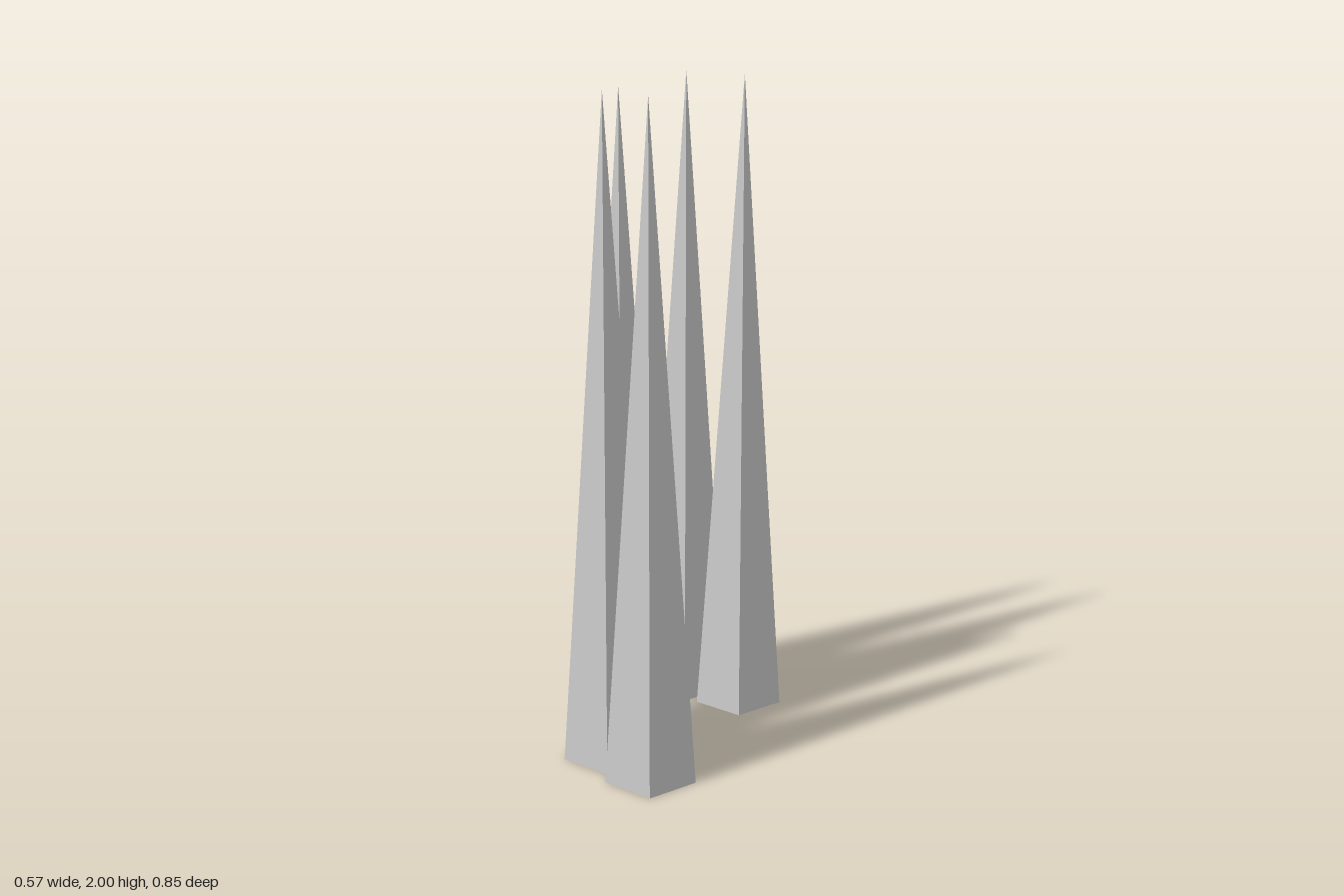
import * as THREE from 'three';

export function createModel() {
  const model = new THREE.Group();
  model.name = 'spikeCluster';
  const material = new THREE.MeshStandardMaterial({ color: 0xcccccc, flatShading: true });

  // Five-sided spike standing on the ground, one corner pointing back
  const height = 2;
  const spike = new THREE.ConeGeometry(0.14, height, 5);
  spike.rotateY(Math.PI);
  spike.translate(0, height / 2, 0);

  // Ground position (x, z) of each spike
  const spots = {
    backRightSpike: [-0.15, -0.27],
    backLeftSpike: [0.05, -0.287],
    middleSpike: [-0.049, 0.187],
    frontRightSpike: [-0.04, 0.27],
    frontLeftSpike: [0.149, 0.31],
  };
  for (const [name, [x, z]] of Object.entries(spots)) {
    const mesh = new THREE.Mesh(spike, material);
    mesh.name = name;
    mesh.position.set(x, 0, z);
    model.add(mesh);
  }
  return model;
}
